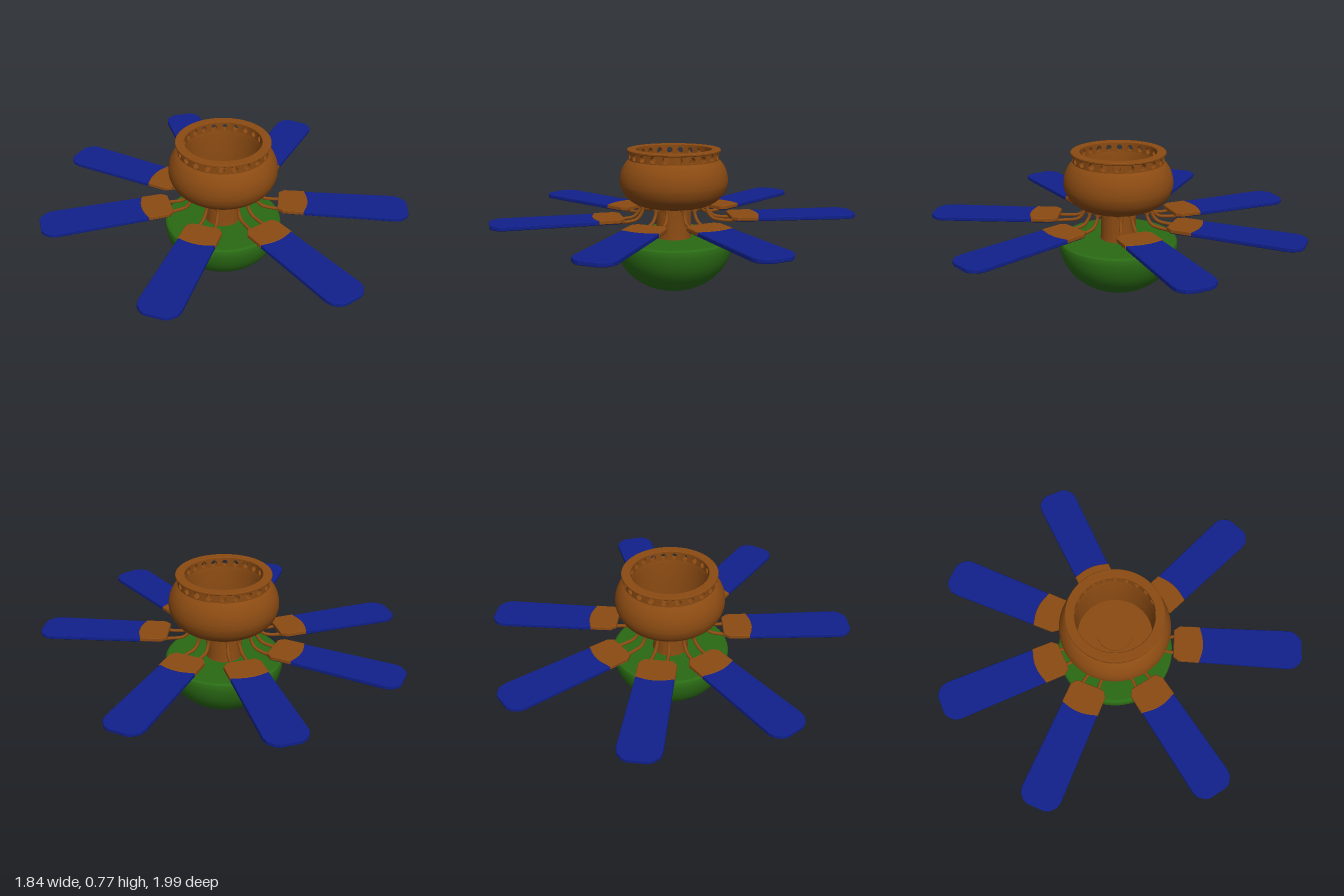
import * as THREE from 'three';
import { mergeGeometries, toCreasedNormals } from 'three/addons/utils/BufferGeometryUtils.js';

const wood = new THREE.MeshStandardMaterial({ color: 0x8a4a12 });
const blue = new THREE.MeshStandardMaterial({ color: 0x10208a });
const green = new THREE.MeshStandardMaterial({ color: 0x2a6a14 });

function part(parent, name, geometry, material) {
  const mesh = new THREE.Mesh(geometry, material);
  mesh.name = name;
  parent.add(mesh);
  return mesh;
}

// Profiles run from bottom to top along the outside
function lathe(points, crease = 0.6) {
  const geo = new THREE.LatheGeometry(points.map(([r, y]) => new THREE.Vector2(r, y)), 64);
  return toCreasedNormals(geo, crease);
}

// Flat slab: half outline in (length, half width), mirrored, between two heights
function slab(half, y0, y1) {
  const mirrored = half.slice().reverse().map(([u, v]) => [u, -v]);
  const shape = new THREE.Shape([...mirrored, ...half.slice()].map(([u, v]) => new THREE.Vector2(u, v)));
  const b = 0.003;
  const geo = new THREE.ExtrudeGeometry(shape, {
    depth: y1 - y0 - 2 * b, bevelThickness: b, bevelSize: b, bevelOffset: -b, bevelSegments: 1,
  });
  geo.rotateX(-Math.PI / 2);
  geo.translate(0, y0 + b, 0);
  return geo;
}

// Ring of wall tiles, each pierced by a round hole and bent around the axis
function piercedBand(count, rIn, rOut, y0, y1, hole) {
  const step = (Math.PI * 2) / count, w = step * rOut, h = y1 - y0;
  const shape = new THREE.Shape();
  shape.moveTo(-w / 2, -h / 2);
  for (let i = 1; i <= 4; i++) shape.lineTo(-w / 2 + (w * i) / 4, -h / 2);
  for (let i = 0; i <= 4; i++) shape.lineTo(w / 2 - (w * i) / 4, h / 2);
  const path = new THREE.Path();
  path.absarc(0, 0, hole, 0, Math.PI * 2, true);
  shape.holes.push(path);
  const tile = new THREE.ExtrudeGeometry(shape, { depth: rOut - rIn, bevelEnabled: false, curveSegments: 8 });
  const p = tile.attributes.position;
  for (let i = 0; i < p.count; i++) {
    const a = p.getX(i) / rOut, r = rIn + p.getZ(i);
    p.setXYZ(i, r * Math.sin(a), (y0 + y1) / 2 + p.getY(i), r * Math.cos(a));
  }
  const tiles = [];
  for (let i = 0; i < count; i++) tiles.push(tile.clone().rotateY(i * step));
  return toCreasedNormals(mergeGeometries(tiles), 0.6);
}

export function createModel() {
  const model = new THREE.Group();
  model.name = 'ceilingFan';
  const fan = new THREE.Group();
  fan.name = 'fan';
  fan.position.set(0.04, 0, -0.013);
  model.add(fan);

  // Lamp bowl with a rounded lip and closed top
  const bowl = [];
  for (let i = 0; i <= 20; i++) {
    const a = (i / 20) * Math.PI / 2;
    bowl.push([0.32 * Math.sin(a), 0.278 - 0.273 * Math.cos(a)]);
  }
  bowl.push([0.316, 0.292], [0.305, 0.3], [0, 0.3]);
  part(fan, 'lampBowl', lathe(bowl), green);

  // Centre column
  part(fan, 'column', lathe([[0.098, 0.295], [0.094, 0.32], [0.094, 0.515], [0, 0.515]]), wood);

  // Hollow motor housing with a pierced neck and a rim
  const body = new THREE.SplineCurve([
    [0.19, 0.482], [0.225, 0.499], [0.265, 0.535], [0.286, 0.58], [0.29, 0.62],
    [0.281, 0.665], [0.26, 0.704], [0.24, 0.724],
  ].map(([x, y]) => new THREE.Vector2(x, y))).getPoints(28).map((v) => [v.x, v.y]);
  part(fan, 'motorHousing', lathe([
    [0, 0.482], ...body, [0.205, 0.724], [0.2, 0.7], [0.2, 0.505], [0, 0.505],
  ]), wood);
  part(fan, 'piercedNeck', piercedBand(22, 0.205, 0.24, 0.723, 0.769, 0.018), wood);
  part(fan, 'rim', lathe([
    [0.202, 0.766], [0.245, 0.766], [0.25, 0.77], [0.25, 0.777], [0.247, 0.78],
    [0.205, 0.78], [0.202, 0.777], [0.202, 0.766],
  ]), wood);

  // Blade and clamp plate, starting at their inner end
  const length = 0.69;
  const bladeGeo = slab([
    [length, 0], [length, 0.05], [length - 0.012, 0.075], [length - 0.04, 0.1], [length - 0.07, 0.107],
    [0.06, 0.097], [0.025, 0.095], [0.006, 0.07], [0.006, 0],
  ].filter(([, v]) => v > 0), 0.406, 0.428);
  const plateGeo = slab([
    [0.158, 0.02], [0.153, 0.05], [0.138, 0.101], [0.03, 0.099], [0, 0.075],
  ], 0.409, 0.431);

  // Tip position in plan (x, z) and heading in degrees from +x towards +z
  const blades = [
    [0.14, 0.99, 84.2], [0.84, 0.57, 36], [0.886, -0.516, -34], [0.288, -0.978, -76],
    [-0.468, -0.855, -122.5], [-0.907, -0.262, -166.5], [-0.69, 0.632, 138.5],
  ];
  for (const [tx, tz, deg] of blades) {
    const a = THREE.MathUtils.degToRad(deg), c = Math.cos(a), s = Math.sin(a);
    const x0 = tx - fan.position.x - length * c, z0 = tz - fan.position.z - length * s;
    const group = new THREE.Group();
    group.name = 'bladeAssembly';
    fan.add(group);
    for (const [name, geo, mat] of [['blade', bladeGeo, blue], ['clampPlate', plateGeo, wood]]) {
      const mesh = part(group, name, geo, mat);
      mesh.position.set(x0, 0, z0);
      mesh.rotation.y = -a;
    }

    // One bent rod: down from the motor, looped under the blade, back up
    const phi = Math.atan2(z0, x0);
    const hub = (r, y, k) => new THREE.Vector3(r * Math.cos(phi + k), y, r * Math.sin(phi + k));
    const under = (u, v) => new THREE.Vector3(x0 + u * c - v * s, 0.405, z0 + u * s + v * c);
    const side = (k) => [hub(0.178, 0.49, 0.17 * k), hub(0.185, 0.45, 0.17 * k),
      hub(0.215, 0.415, 0.17 * k), under(-0.03, 0.042 * k), under(0.05, 0.05 * k), under(0.09, 0.035 * k)];
    const path = new THREE.CatmullRomCurve3([...side(1), under(0.102, 0), ...side(-1).reverse()]);
    part(group, 'bladeArm', new THREE.TubeGeometry(path, 64, 0.009, 8), wood);
    for (const k of [1, -1]) {
      const foot = part(group, 'armFoot', new THREE.CylinderGeometry(0.018, 0.018, 0.014, 16), wood);
      foot.position.copy(hub(0.178, 0.479, 0.17 * k));
    }
  }
  return model;
}
